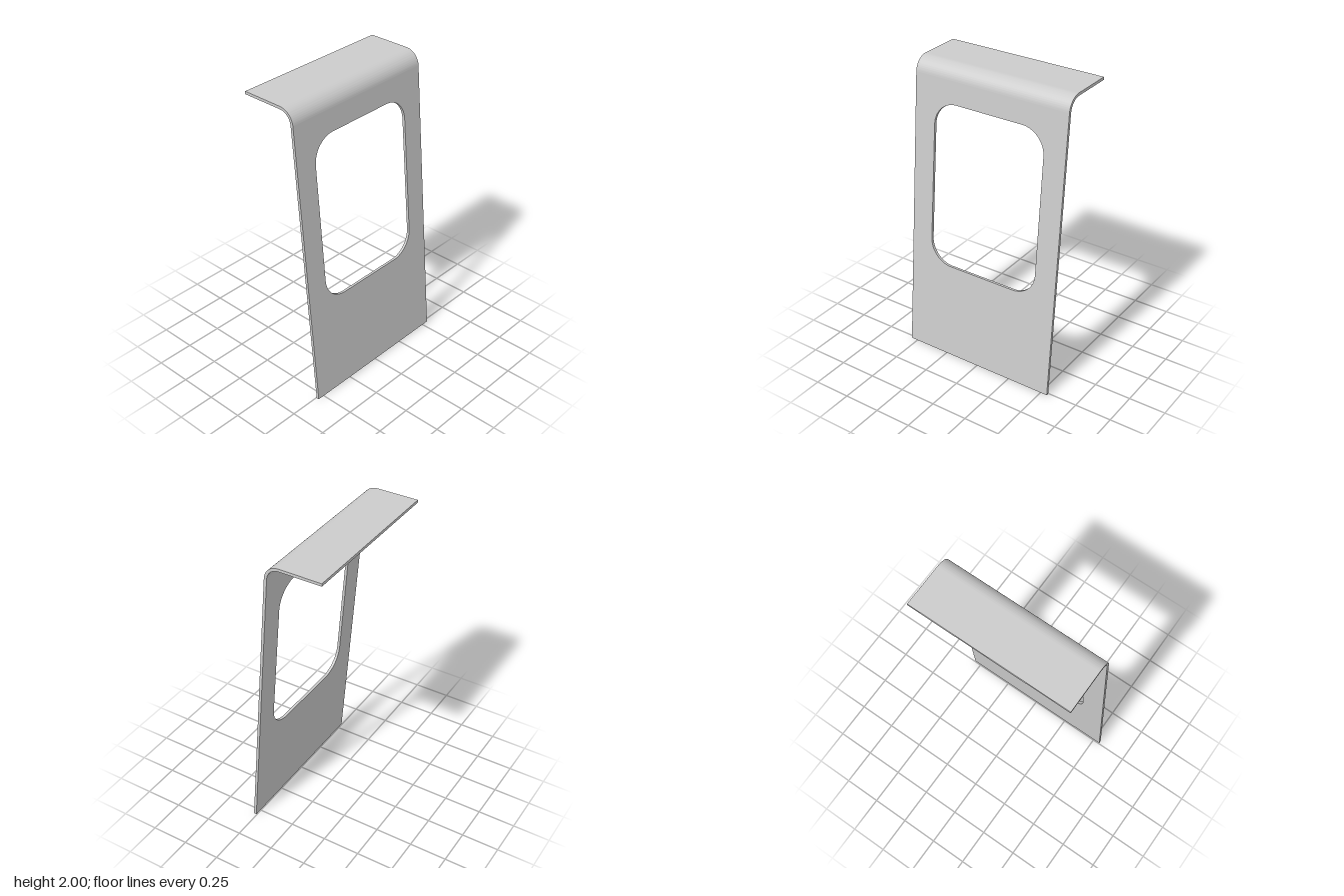
import * as THREE from 'three';
import { toCreasedNormals } from 'three/addons/utils/BufferGeometryUtils.js';

const WIDTH = 1.096, HEIGHT = 2, HALF_DEPTH = 0.273;
const T = 0.0185;                 // sheet thickness
const TILT = Math.atan(0.0864);   // backward lean of the panel
const R = 0.1;                    // outer bend radius

function roundedRect(path, x0, y0, x1, y1, r) {
  path.moveTo(x0 + r, y0);
  path.lineTo(x1 - r, y0);
  path.absarc(x1 - r, y0 + r, r, -Math.PI / 2, 0);
  path.lineTo(x1, y1 - r);
  path.absarc(x1 - r, y1 - r, r, 0, Math.PI / 2);
  path.lineTo(x0 + r, y1);
  path.absarc(x0 + r, y1 - r, r, Math.PI / 2, Math.PI);
  path.lineTo(x0, y0 + r);
  path.absarc(x0 + r, y0 + r, r, Math.PI, Math.PI * 1.5);
  return path;
}

function extrude(shape, depth) {
  const geometry = new THREE.ExtrudeGeometry(shape, { depth, bevelEnabled: false, curveSegments: 20 });
  return toCreasedNormals(geometry, 0.5);
}

export function createModel() {
  const group = new THREE.Group();
  group.name = 'bentPanel';
  const material = new THREE.MeshStandardMaterial({ color: 0xcccccc });

  // Where the flat panel meets the bend
  const baseZ = HALF_DEPTH - T * Math.cos(TILT);
  const centreY = HEIGHT - R;
  const length = (centreY + (R - T) * Math.sin(TILT)) / Math.cos(TILT);
  const centreZ = baseZ - length * Math.sin(TILT) - (R - T) * Math.cos(TILT);

  // Leaning panel with a rounded window
  const face = new THREE.Shape();
  face.moveTo(-WIDTH / 2, 0);
  face.lineTo(WIDTH / 2, 0);
  face.lineTo(WIDTH / 2, length);
  face.lineTo(-WIDTH / 2, length);
  face.closePath();
  face.holes.push(roundedRect(new THREE.Path(), -0.398, 0.661, 0.398, 1.767, 0.16));
  const panel = new THREE.Mesh(extrude(face, T), material);
  panel.name = 'windowPanel';
  panel.rotation.x = -TILT;
  panel.position.z = baseZ;
  group.add(panel);

  // Curved bend running into the flat top flange (profile drawn with -z to the right)
  const profile = new THREE.Shape();
  profile.absarc(-centreZ, centreY, R, Math.PI - TILT, Math.PI / 2, true);
  profile.lineTo(HALF_DEPTH, HEIGHT);
  profile.lineTo(HALF_DEPTH, HEIGHT - T);
  profile.absarc(-centreZ, centreY, R - T, Math.PI / 2, Math.PI - TILT, false);
  profile.closePath();
  const flange = new THREE.Mesh(extrude(profile, WIDTH), material);
  flange.name = 'topFlange';
  flange.rotation.y = Math.PI / 2;
  flange.position.x = -WIDTH / 2;
  group.add(flange);

  return group;
}
